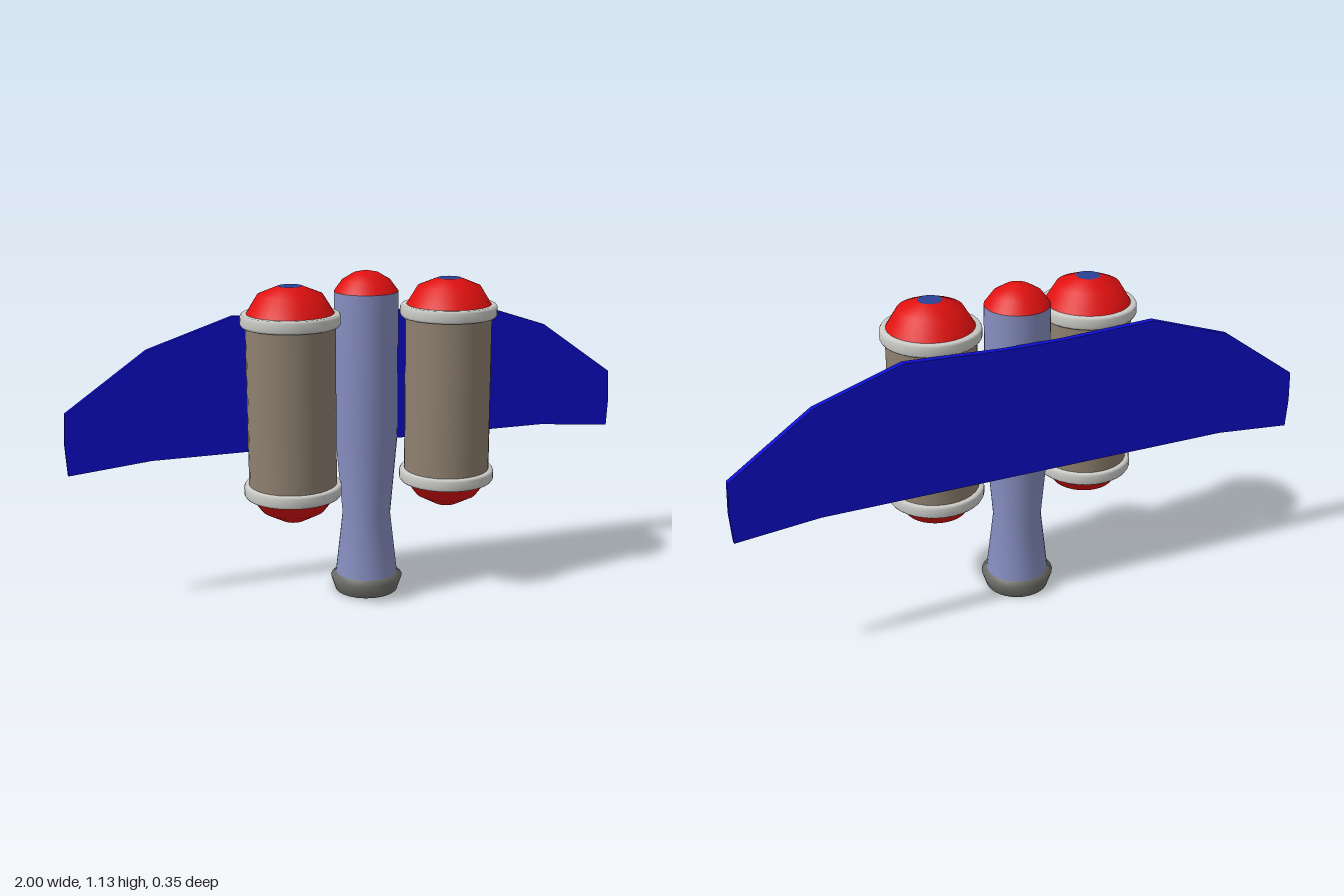
import * as THREE from 'three';

const material = (name, color) => {
  const m = new THREE.MeshStandardMaterial({ color });
  m.name = name;
  return m;
};

export function createModel() {
  const red = material('red', 0xe01010);
  const wingBlue = material('wing blue', 0x0c0ccc);
  const capBlue = material('cap blue', 0x2c4294);
  const bodyBlue = material('body blue grey', 0x868ec0);
  const tan = material('tank tan', 0x8f8070);
  const white = material('ring grey', 0xcbcbc8);
  const grey = material('nozzle grey', 0x6e6e6a);

  const model = new THREE.Group();
  model.name = 'jetPack';

  const add = (parent, name, geometry, mat) => {
    const mesh = new THREE.Mesh(geometry, mat);
    mesh.name = name;
    parent.add(mesh);
    return mesh;
  };
  // Profile is listed from bottom to top as [radius, height]
  const lathe = (points, segments = 32) =>
    new THREE.LatheGeometry(points.map(([r, y]) => new THREE.Vector2(r, y)), segments);

  // Centre rocket
  const rocket = new THREE.Group();
  rocket.name = 'rocket';
  rocket.position.z = -0.042;
  model.add(rocket);
  add(rocket, 'rocketBody', lathe([
    [0.108, 0.06], [0.083, 0.28], [0.108, 0.57], [0.108, 1.056],
  ]), bodyBlue);
  add(rocket, 'rocketNose', lathe([
    [0.108, 1.056], [0.08, 1.094], [0.042, 1.117], [0, 1.126],
  ]), red);
  add(rocket, 'nozzle', lathe([
    [0.096, 0], [0.109, 0], [0.125, 0.048], [0.106, 0.066],
  ]), grey);
  // Hollow inside of the nozzle, facing down
  add(rocket, 'nozzleInside', lathe([
    [0, 0.1], [0.04, 0.1], [0.045, 0.065], [0.09, 0.05], [0.097, 0],
  ]), red);

  // Side tanks with domes, end caps and rings
  for (const [side, name] of [[1, 'leftTank'], [-1, 'rightTank']]) {
    const tank = new THREE.Group();
    tank.name = name;
    tank.position.set(side * 0.277, 0, 0.01);
    model.add(tank);
    add(tank, 'tankBody', lathe([[0.147, 0.41], [0.147, 0.985]]), tan);
    add(tank, 'topDome', lathe([[0.147, 1.0], [0.106, 1.067], [0.04, 1.094]]), red);
    add(tank, 'bottomDome', lathe([[0.04, 0.303], [0.106, 0.339], [0.147, 0.395]]), red);
    const topCap = add(tank, 'topCap', new THREE.CircleGeometry(0.04, 32), capBlue);
    topCap.rotation.x = -Math.PI / 2;
    topCap.position.y = 1.094;
    const bottomCap = add(tank, 'bottomCap', new THREE.CircleGeometry(0.04, 32), capBlue);
    bottomCap.rotation.x = Math.PI / 2;
    bottomCap.position.y = 0.303;
    for (const [ringName, y] of [['topRing', 0.985], ['bottomRing', 0.411]]) {
      const ring = add(tank, ringName, lathe([
        [0.135, -0.021], [0.159, -0.021], [0.164, -0.013],
        [0.164, 0.013], [0.159, 0.021], [0.135, 0.021],
      ]), white);
      ring.position.y = y;
    }
  }

  // Wing plate: half outline mirrored about the middle
  const half = [
    [0.72, 0.505], [0.995, 0.479], [1, 0.58], [0.994, 0.687],
    [0.72, 0.88], [0.43, 0.976], [0.1, 0.962],
  ];
  const outline = [...half, ...half.map(([x, y]) => [-x, y]).reverse()];
  const wing = new THREE.ExtrudeGeometry(
    new THREE.Shape(outline.map(([x, y]) => new THREE.Vector2(x, y))),
    { depth: 0.021, bevelEnabled: false },
  );
  wing.translate(0, 0, -0.172);
  add(model, 'wing', wing, wingBlue);

  return model;
}
